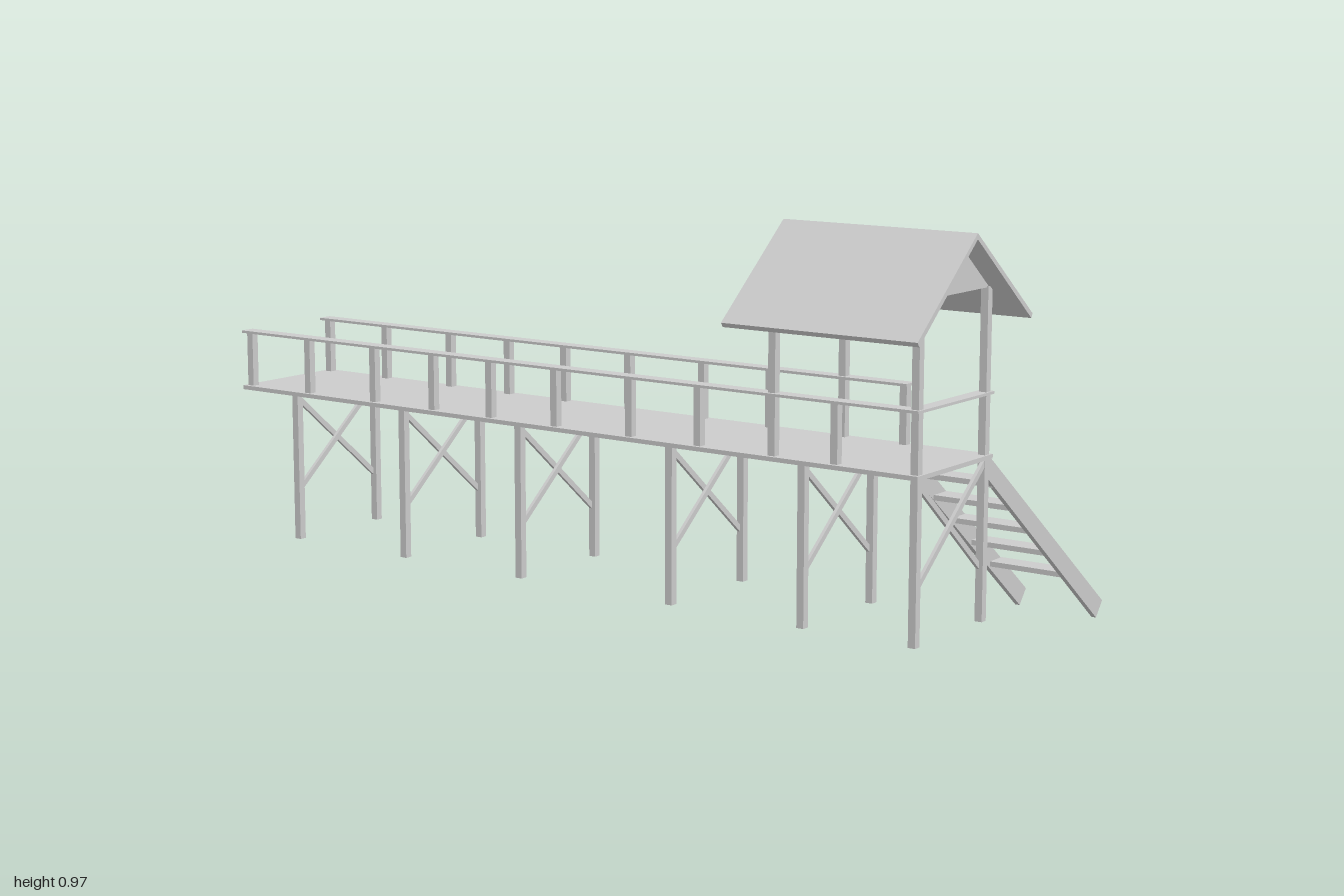
import * as THREE from 'three';

const mat = new THREE.MeshStandardMaterial({ color: 0xcccccc, flatShading: true });

export function createModel() {
  const root = new THREE.Group();
  const LEFT = -0.373, RIGHT = -0.093, MID = -0.239;
  const DECK = 0.476, RAIL = 0.608, POST = 0.018, FRONT = 0.941;

  const group = (name) => {
    const g = new THREE.Group();
    g.name = name;
    root.add(g);
    return g;
  };
  // box given by its min and max on each axis
  const box = (parent, name, [x0, x1], [y0, y1], [z0, z1]) => {
    const m = new THREE.Mesh(new THREE.BoxGeometry(x1 - x0, y1 - y0, z1 - z0), mat);
    m.position.set((x0 + x1) / 2, (y0 + y1) / 2, (z0 + z1) / 2);
    m.name = name;
    parent.add(m);
    return m;
  };
  const post = (parent, name, x, z, y0, y1, w = POST) =>
    box(parent, name, [x - w / 2, x + w / 2], [y0, y1], [z - w / 2, z + w / 2]);
  // outline in the xy plane, given thickness along z
  const plate = (parent, name, pts, zMid, depth) => {
    const shape = new THREE.Shape(pts.map(([x, y]) => new THREE.Vector2(x, y)));
    const geo = new THREE.ExtrudeGeometry(shape, { depth, bevelEnabled: false });
    const m = new THREE.Mesh(geo, mat);
    m.position.z = zMid - depth / 2;
    m.name = name;
    parent.add(m);
  };
  // slanted bar between the two legs of a pair
  const brace = (parent, yLeft, yRight, z) => {
    const dx = RIGHT - LEFT, dy = yRight - yLeft;
    const m = new THREE.Mesh(new THREE.BoxGeometry(Math.hypot(dx, dy), 0.013, 0.008), mat);
    m.position.set((LEFT + RIGHT) / 2, (yLeft + yRight) / 2, z);
    m.rotation.z = Math.atan2(dy, dx);
    m.name = 'crossBrace';
    parent.add(m);
  };

  // walkway floor
  box(root, 'deck', [-0.391, -0.077], [0.466, DECK], [-1, 0.955]);

  // leg pairs with crossed braces
  const legs = group('legs');
  for (const z of [FRONT, 0.66, 0.308, -0.125, -0.483, -0.832]) {
    for (const x of [LEFT, RIGHT]) post(legs, 'leg', x, z, 0.105, 0.468);
    brace(legs, 0.462, 0.224, z - 0.004);
    brace(legs, 0.234, 0.464, z + 0.004);
  }

  // railing posts and flat handrails, open on the right where the ladder lands
  const railing = group('railing');
  const railPosts = [0.742, 0.385, 0.196, -0.018, -0.211, -0.387, -0.574, -0.788, -0.982];
  for (const z of railPosts)
    for (const x of [LEFT, RIGHT]) post(railing, 'railPost', x, z, DECK - 0.002, RAIL + 0.001);
  box(railing, 'leftHandrail', [-0.391, -0.354], [RAIL, 0.614], [-1, 0.955]);
  box(railing, 'rightHandrail', [-0.111, -0.075], [RAIL, 0.614], [-1, 0.755]);
  box(railing, 'frontHandrail', [-0.354, -0.075], [RAIL, 0.614], [0.922, 0.955]);

  // tower posts and roof
  const tower = group('tower');
  for (const z of [FRONT, 0.582])
    for (const x of [LEFT, RIGHT]) post(tower, 'towerPost', x, z, DECK - 0.002, 0.844);
  plate(tower, 'roof', [
    [MID, 0.973], [-0.475, 0.771], [-0.468, 0.761], [MID, 0.96],
    [-0.001, 0.768], [0.004, 0.778],
  ], 0.757, 0.486);
  for (const z of [FRONT, 0.582])
    plate(tower, 'gable', [[-0.377, 0.841], [-0.09, 0.841], [MID, 0.964]], z, 0.01);

  // slanted ladder: two side boards and five treads
  const ladder = group('ladder');
  const zNear = 0.941, zFar = 0.738;
  for (const z of [zNear, zFar])
    plate(ladder, 'stringer', [[-0.081, 0.473], [-0.081, 0.42], [0.445, 0.003], [0.474, 0.039]], z, 0.012);
  for (let i = 0; i < 5; i++) {
    const x = -0.026 + i * 0.0875, y = 0.402 - i * 0.0675;
    box(ladder, 'tread', [x - 0.028, x + 0.028], [y - 0.006, y + 0.006], [zFar, zNear]);
  }

  return root;
}
